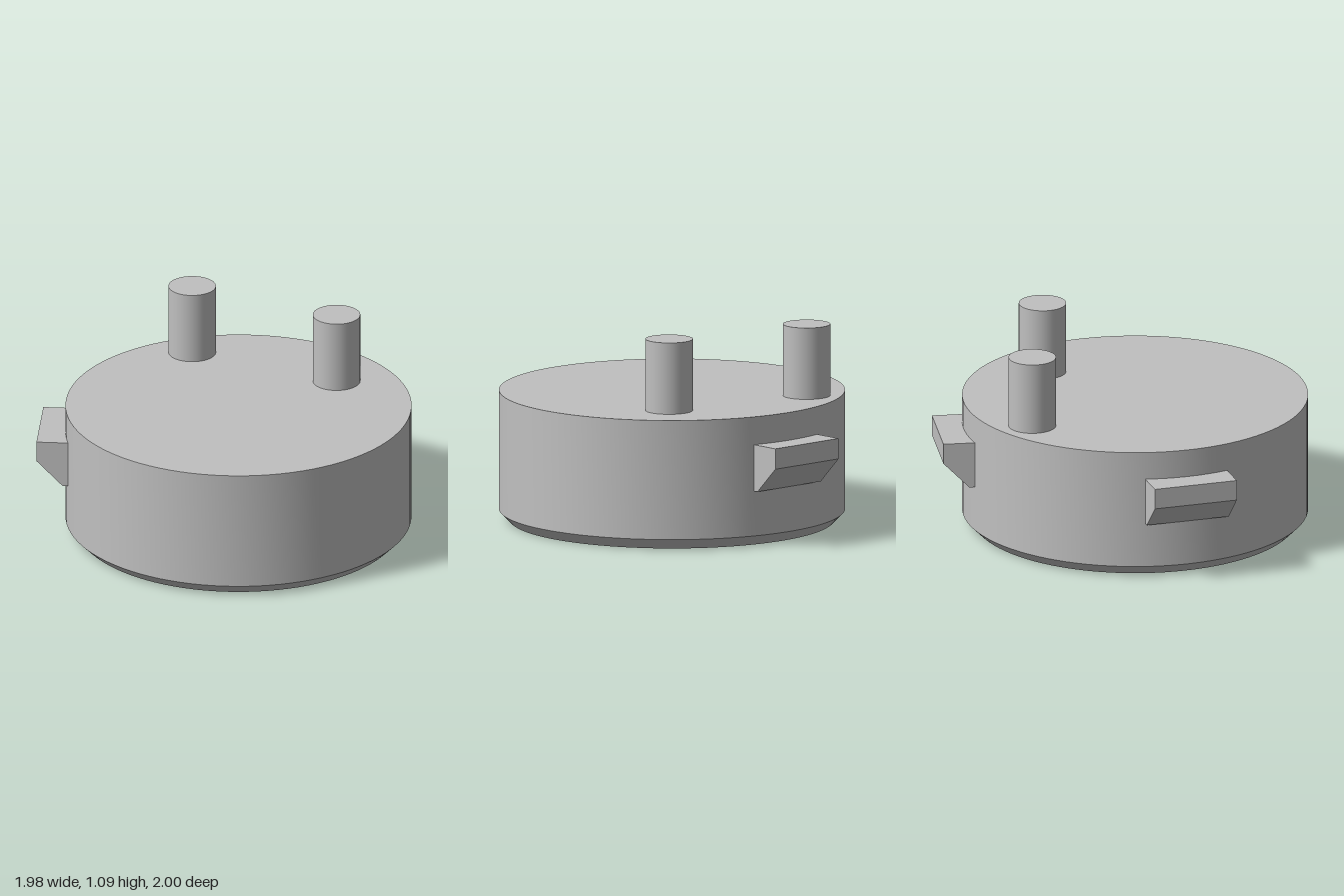
import * as THREE from 'three';
import { toCreasedNormals } from 'three/addons/utils/BufferGeometryUtils.js';

export function createModel() {
  const model = new THREE.Group();
  model.name = 'capWithPegs';
  const grey = new THREE.MeshStandardMaterial({ color: 0xc0c0c0 });
  grey.name = 'plainGrey';

  const centreX = 0.067, centreZ = 0.081;
  const radius = 0.918, height = 0.7;

  const add = (name, geometry, parent = model) => {
    const mesh = new THREE.Mesh(geometry, grey);
    mesh.name = name;
    parent.add(mesh);
    return mesh;
  };

  // Round body with a chamfered foot and a shallow recess underneath
  const profile = [
    [0, 0.05], [0.366, 0.05], [0.366, 0], [radius - 0.058, 0],
    [radius, 0.058], [radius, height], [0, height],
  ].map(([r, y]) => new THREE.Vector2(r, y));
  const body = add('body', toCreasedNormals(new THREE.LatheGeometry(profile, 96), 0.4));
  body.position.set(centreX, 0, centreZ);

  // Two upright pegs on the top
  const pegHeight = 0.385;
  [[-0.233, -0.588], [0.56, -0.277]].forEach(([x, z], i) => {
    const peg = add(`peg${i + 1}`, new THREE.CylinderGeometry(0.126, 0.126, pegHeight, 48));
    peg.position.set(x, height + pegHeight / 2, z);
  });

  // Side lugs: a square ledge with a sloped underside, rooted in the body
  const lugWidth = 0.456;
  const lugShape = new THREE.Shape([
    [-0.8, 0.3], [-0.8, 0.55], [-1.057, 0.55], [-1.057, 0.44], [-0.918, 0.3],
  ].map(([x, y]) => new THREE.Vector2(x, y)));
  const lugGeometry = new THREE.ExtrudeGeometry(lugShape, { depth: lugWidth, bevelEnabled: false });
  lugGeometry.translate(0, 0, -lugWidth / 2);
  [['rightLug', 0], ['backLug', -100]].forEach(([name, degrees]) => {
    const lug = add(name, lugGeometry);
    lug.position.set(centreX, 0, centreZ);
    lug.rotation.y = THREE.MathUtils.degToRad(degrees);
  });

  return model;
}
